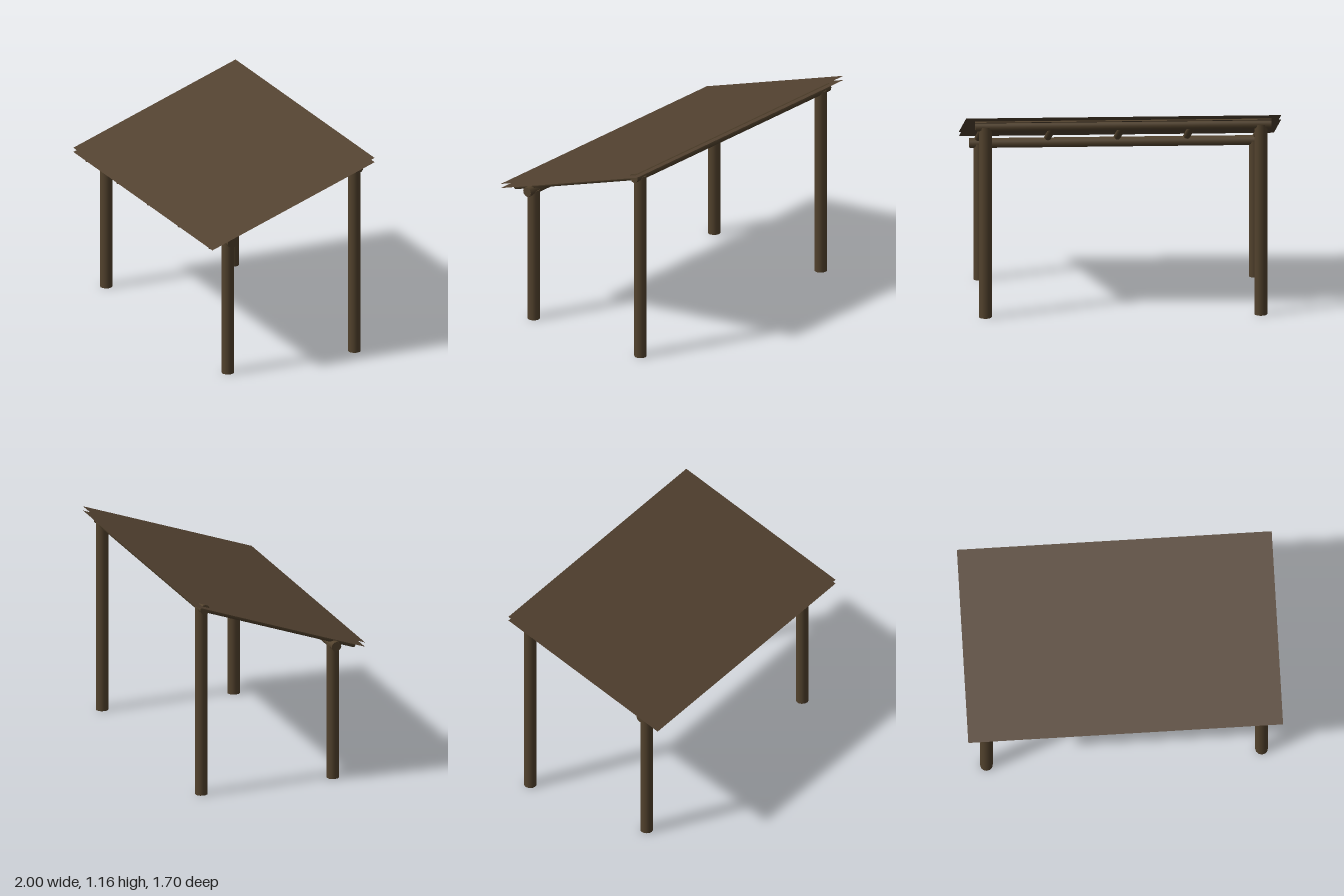
import * as THREE from 'three';

export function createModel() {
  const model = new THREE.Group();
  const shelter = new THREE.Group();
  shelter.name = 'shelter';
  shelter.rotation.y = -0.492; // the shelter stands at an angle to the axes
  model.add(shelter);

  const roofWood = new THREE.MeshStandardMaterial({ color: 0x524130, side: THREE.DoubleSide });
  roofWood.name = 'roof brown';
  const logWood = new THREE.MeshStandardMaterial({ color: 0x52422d });
  logWood.name = 'log brown';

  const halfWidth = 0.867, halfDepth = 0.497;
  const slope = 0.357, midHeight = 0.978, gap = 0.025;
  const roofY = (z) => midHeight - slope * z; // height of the top sheet

  // Round log running between two points
  function addLog(name, from, to, radius) {
    const a = new THREE.Vector3(...from), b = new THREE.Vector3(...to);
    const dir = b.clone().sub(a);
    const log = new THREE.Mesh(new THREE.CylinderGeometry(radius, radius, dir.length(), 12), logWood);
    log.position.copy(a).add(b).multiplyScalar(0.5);
    log.quaternion.setFromUnitVectors(new THREE.Vector3(0, 1, 0), dir.normalize());
    log.name = name;
    shelter.add(log);
  }

  // Two thin sloping roof sheets, one just under the other
  for (const [name, drop] of [['roofTopSheet', 0], ['roofLowerSheet', gap]]) {
    const geo = new THREE.PlaneGeometry(2 * halfWidth, 2 * halfDepth * Math.hypot(1, slope));
    geo.rotateX(-Math.PI / 2 + Math.atan(slope));
    const sheet = new THREE.Mesh(geo, roofWood);
    sheet.position.y = midHeight - drop;
    sheet.name = name;
    shelter.add(sheet);
  }

  // Posts and the beam across each pair
  for (const [side, z, y] of [['front', 0.349, 0.777], ['back', -0.426, 1.089]]) {
    addLog(side + 'LeftPost', [0.758, 0, z], [0.758, y, z], 0.035);
    addLog(side + 'RightPost', [-0.758, 0, z], [-0.758, y, z], 0.035);
    addLog(side + 'Beam', [-0.815, y, z], [0.815, y, z], 0.028);
  }

  // Sloping rafters under the roof
  const drop = gap + 0.022;
  for (let i = 0; i < 5; i++) {
    const x = -0.766 + i * 0.383;
    addLog('rafter' + (i + 1), [x, roofY(0.472) - drop, 0.472], [x, roofY(-0.43) - drop, -0.43], 0.019);
  }

  return model;
}
